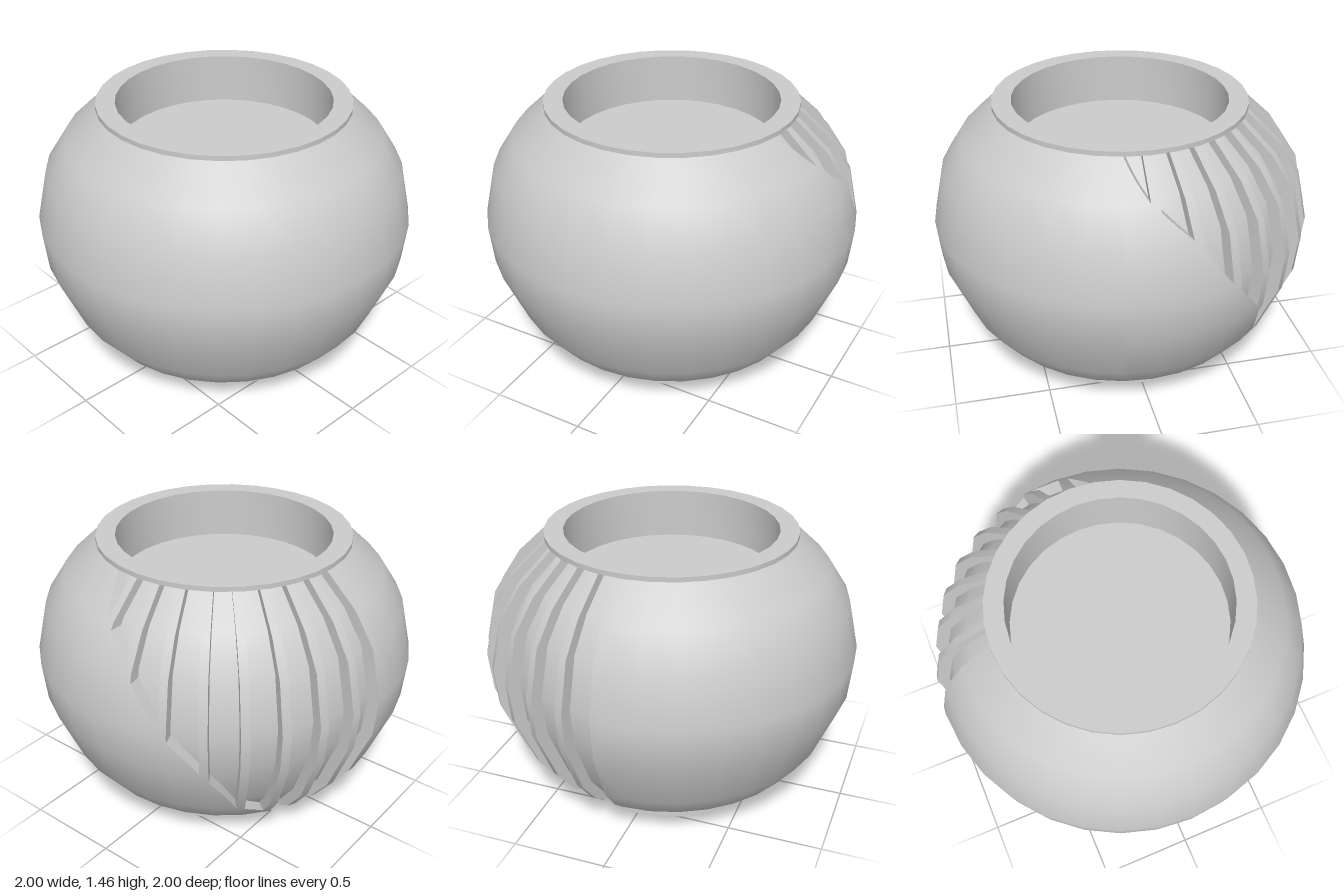
import * as THREE from 'three';
import { mergeGeometries, toCreasedNormals } from 'three/addons/utils/BufferGeometryUtils.js';

const SIDES = 32, STEP = (Math.PI * 2) / SIDES;
const DEPTH = 0.068, FIN = 0.043;
const V = (x, y) => new THREE.Vector2(x, y);
const mat = new THREE.MeshStandardMaterial({ color: 0xcccccc, side: THREE.DoubleSide });

// Outer body profile (radius, height)
const profile = [[0.545, 0.06], [0.75, 0.19], [0.86, 0.33], [0.98, 0.62], [1, 0.83],
  [0.94, 1.1], [0.83, 1.27], [0.66, 1.43]].map(([r, y]) => V(r, y));
const TOP = 1.43, BASE = 0.06;

// Smoothed profile normals, averaged at each profile point
const segNormal = (i) => {
  const d = profile[i + 1].clone().sub(profile[i]).normalize();
  return V(d.y, -d.x);
};
const normals = profile.map((_, i) =>
  segNormal(Math.max(i - 1, 0)).add(segNormal(Math.min(i, profile.length - 2))).normalize());

function sample(list, y) {
  let i = 0;
  while (i < profile.length - 2 && y > profile[i + 1].y) i++;
  return list[i].clone().lerp(list[i + 1], (y - profile[i].y) / (profile[i + 1].y - profile[i].y));
}

// Point on the 32-sided body, sunk inwards by depth
function bodyPoint(phi, y, depth) {
  const local = phi - (Math.floor(phi / STEP + 1e-6) + 0.5) * STEP;
  const r = (sample(profile, y).x - depth) * Math.cos(STEP / 2) / Math.cos(local);
  return new THREE.Vector3(r * Math.sin(phi), y, r * Math.cos(phi));
}

// Grid patch; at(u index, v index) returns { phi, y, depth }
function patch(cols, rows, at, smooth) {
  const pos = [], nor = [], index = [];
  for (let j = 0; j <= rows; j++) {
    for (let i = 0; i <= cols; i++) {
      const { phi, y, depth } = at(i, j);
      pos.push(...bodyPoint(phi, y, depth).toArray());
      const n = sample(normals, y).normalize();
      nor.push(n.x * Math.sin(phi), n.y, n.x * Math.cos(phi));
      if (i < cols && j < rows) {
        const a = j * (cols + 1) + i, d = a + cols + 1;
        index.push(a, a + 1, d + 1, a, d + 1, d);
      }
    }
  }
  const g = new THREE.BufferGeometry();
  g.setAttribute('position', new THREE.Float32BufferAttribute(pos, 3));
  g.setIndex(index);
  if (smooth) g.setAttribute('normal', new THREE.Float32BufferAttribute(nor, 3));
  else g.computeVertexNormals();
  return g.toNonIndexed();
}

const COLS = 4, ROWS = profile.length - 1;
const { lerp, clamp } = THREE.MathUtils;

// Carved grooves get shorter around the side; height of each lower tip
const tips = [0.06, 0.09, 0.14, 0.22, 0.33, 0.63, 0.85, 1.11, 1.27, 1.47];

function carvedSegment(k) {
  const hi = Math.PI - k * STEP, lo = hi - STEP + 1e-5;
  const start = (y) => hi - FIN / sample(profile, y).x;
  const phiAt = (t, y) => lerp(lo, start(y), t);
  const endAt = (t) => lerp(tips[k], tips[k + 1], 0.78 * (1 - t));
  const rowY = (j, a, b) => clamp(profile[j].y, a, b);
  const wall = (t, d0, d1) => patch(1, ROWS, (i, j) => {
    const y = rowY(j, endAt(t), TOP);
    return { phi: phiAt(t, y), y, depth: i ? d1 : d0 };
  }, false);
  const fin = patch(1, ROWS, (i, j) => {
    const y = profile[j].y;
    return { phi: i ? hi - 1e-5 : start(y), y, depth: 0 };
  }, true);
  const band = (upper) => patch(COLS, ROWS, (i, j) => {
    const t = i / COLS, e = endAt(t);
    const y = upper ? rowY(j, e, TOP) : rowY(j, BASE, e);
    return { phi: phiAt(t, y), y, depth: upper ? DEPTH : 0 };
  }, true);
  const ledge = patch(COLS, 1, (i, j) => {
    const t = i / COLS, y = endAt(t);
    return { phi: phiAt(t, y), y, depth: j ? DEPTH : 0 };
  }, false);
  return [fin, band(true), band(false), ledge, wall(1, DEPTH, 0), wall(0, 0, DEPTH)];
}

export function createModel() {
  const group = new THREE.Group();
  const add = (name, geometry) => {
    const mesh = new THREE.Mesh(geometry, mat);
    mesh.name = name;
    group.add(mesh);
  };
  const lathe = (pts) => new THREE.LatheGeometry(pts.map(([r, y]) => V(r, y)), SIDES);

  // Smooth part of the hollow bowl
  const carved = tips.length - 1;
  add('body', new THREE.LatheGeometry(profile, SIDES - carved, Math.PI, (SIDES - carved) * STEP));

  // Fins and grooves
  const parts = [];
  for (let k = 0; k < carved; k++) parts.push(...carvedSegment(k));
  add('carvedFins', mergeGeometries(parts));

  // Flat lip with a straight neck inside
  add('rim', toCreasedNormals(lathe([[0.56, TOP], [0.66, TOP], [0.66, 1.455], [0.56, 1.455], [0.56, 1.19]]), 0.6));

  // Floor of the shallow basin
  add('basinFloor', lathe([[0.56, 1.19], [0, 1.19]]));

  // Open foot ring
  add('footRing', lathe([[0.548, 0], [0.545, BASE]]));
  return group;
}
